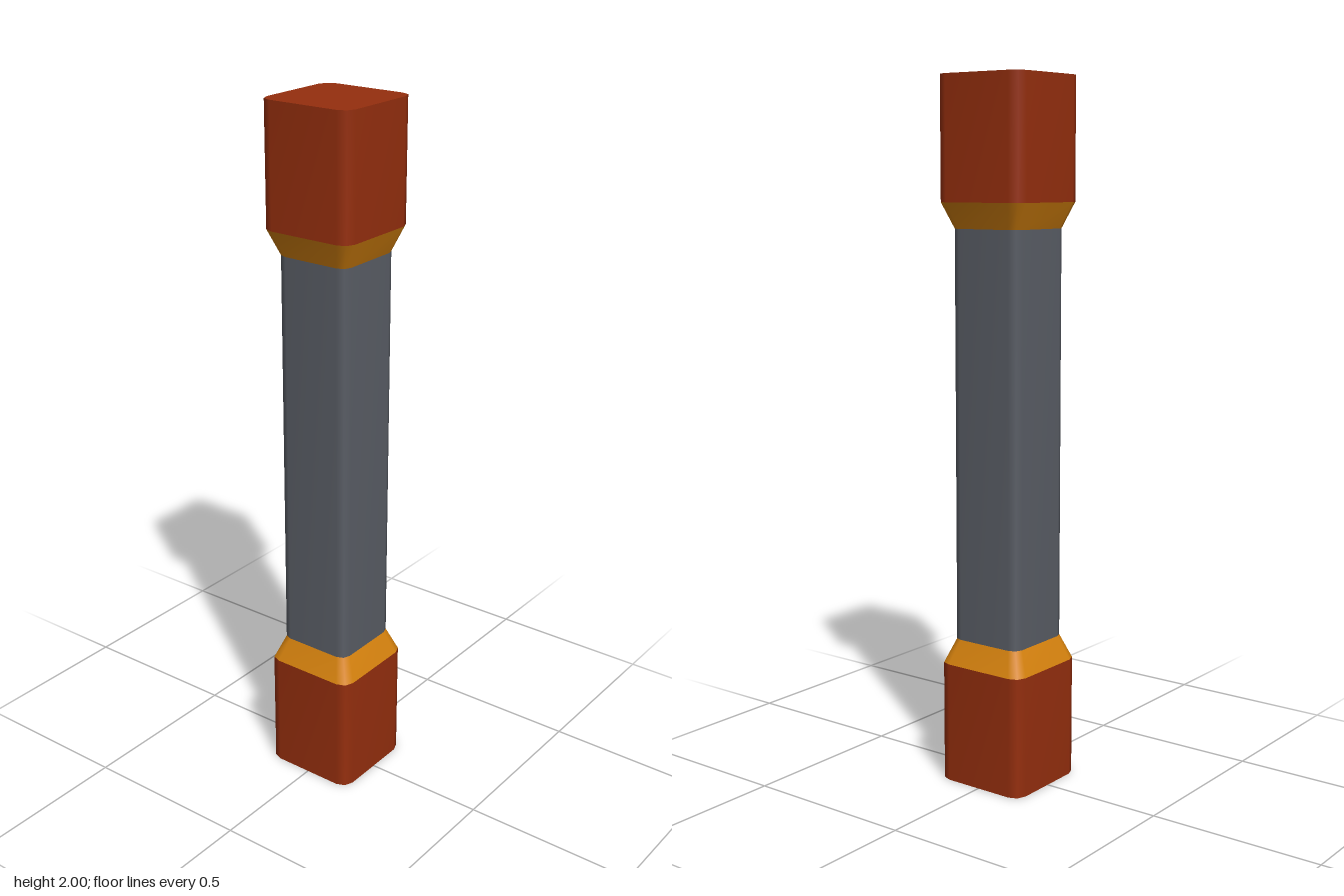
import * as THREE from 'three';

const END = 0.142;   // half width of the end blocks
const SHAFT = 0.113; // half width of the shaft

// Square outline with rounded corners (three points each), as fractions of the half width
const corner = [[1, 0.75], [0.93, 0.93], [0.75, 1]];
const outline = [];
for (let k = 0; k < 4; k++) {
  for (const [a, b] of corner) {
    const c = Math.round(Math.cos(k * Math.PI / 2));
    const s = Math.round(Math.sin(k * Math.PI / 2));
    outline.push([a * c - b * s, a * s + b * c]);
  }
}
const N = outline.length;

// Smooth-sided band between two heights, open at both ends
function band(y0, half0, y1, half1) {
  const pos = [], index = [];
  for (const [y, h] of [[y0, half0], [y1, half1]]) {
    for (const [x, z] of outline) pos.push(x * h, y, z * h);
  }
  for (let i = 0; i < N; i++) {
    const j = (i + 1) % N;
    index.push(i, i + N, j, j, i + N, j + N);
  }
  const g = new THREE.BufferGeometry();
  g.setAttribute('position', new THREE.Float32BufferAttribute(pos, 3));
  g.setIndex(index);
  g.computeVertexNormals();
  return g;
}

// Flat face closing an end
function capFace(y, up) {
  const shape = new THREE.Shape(outline.map(([x, z]) => new THREE.Vector2(x * END, z * END)));
  const g = new THREE.ShapeGeometry(shape);
  g.rotateX(up ? -Math.PI / 2 : Math.PI / 2);
  g.translate(0, y, 0);
  return g;
}

export function createModel() {
  const red = new THREE.MeshStandardMaterial({ name: 'rust red', color: 0x962f0e });
  const amber = new THREE.MeshStandardMaterial({ name: 'amber', color: 0xd6820e });
  const grey = new THREE.MeshStandardMaterial({ name: 'steel grey', color: 0x5a5e66 });

  const model = new THREE.Group();
  model.name = 'baton';
  const add = (name, geometry, material) => {
    const mesh = new THREE.Mesh(geometry, material);
    mesh.name = name;
    model.add(mesh);
  };

  // Lower end
  add('bottomFace', capFace(0, false), red);
  add('lowerBlock', band(0, END, 0.348, END), red);
  add('lowerCollar', band(0.348, END, 0.418, SHAFT), amber);

  // Shaft
  add('shaft', band(0.418, SHAFT, 1.585, SHAFT), grey);

  // Upper end
  add('upperCollar', band(1.585, SHAFT, 1.657, END), amber);
  add('upperBlock', band(1.657, END, 2, END), red);
  add('topFace', capFace(2, true), red);

  return model;
}
